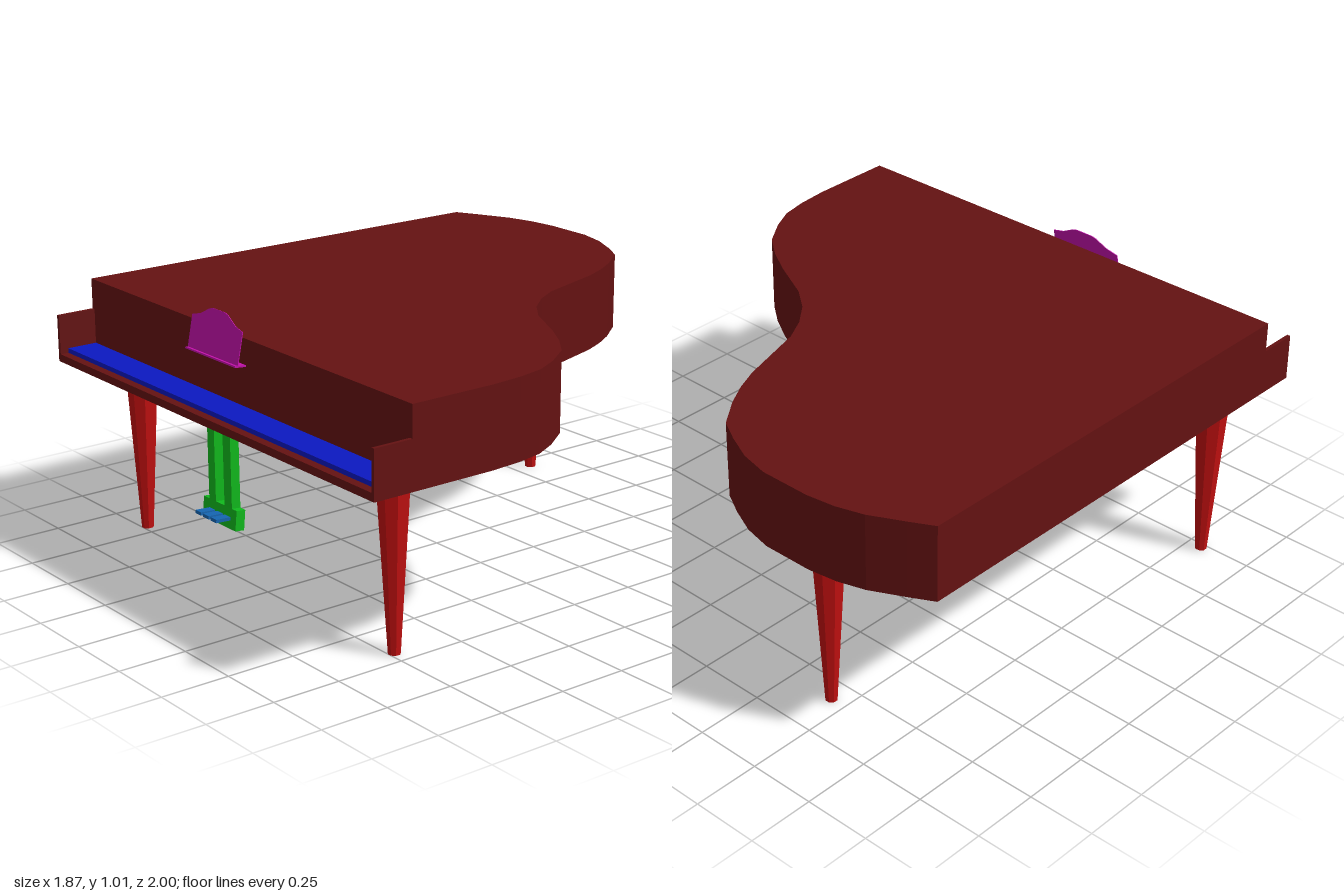
import * as THREE from 'three';

const material = (color, extra = {}) => new THREE.MeshStandardMaterial({ color, ...extra });
const wood = material(0x641212);
const legRed = material(0xc01010, { flatShading: true });
const green = material(0x10b81c);
const keyBlue = material(0x0c18c0);
const pedalBlue = material(0x1565b0);
const magenta = material(0xc010a8, { side: THREE.DoubleSide });

function add(parent, name, geometry, mat) {
  const mesh = new THREE.Mesh(geometry, mat);
  mesh.name = name;
  parent.add(mesh);
  return mesh;
}

// Box given by its extents on each axis
function box(parent, name, mat, [x0, x1], [y0, y1], [z0, z1]) {
  const mesh = add(parent, name, new THREE.BoxGeometry(x1 - x0, y1 - y0, z1 - z0), mat);
  mesh.position.set((x0 + x1) / 2, (y0 + y1) / 2, (z0 + z1) / 2);
  return mesh;
}

// Case outline seen from above, as x, z
const OUTLINE = [
  [-0.935, 0.85], [-0.935, -0.85], [-0.85, -0.895], [-0.73, -0.955], [-0.63, -0.985],
  [-0.52, -1], [-0.33, -1], [-0.22, -0.975], [-0.12, -0.93], [-0.03, -0.88],
  [0.05, -0.775], [0.1, -0.69], [0.14, -0.6], [0.18, -0.47], [0.22, -0.34],
  [0.27, -0.25], [0.34, -0.165], [0.43, -0.095], [0.52, -0.05], [0.6, -0.01],
  [0.7, 0.05], [0.79, 0.12], [0.86, 0.22], [0.905, 0.31], [0.925, 0.41],
  [0.935, 0.53], [0.935, 0.85],
];

function buildCase() {
  const group = new THREE.Group();
  group.name = 'case';
  const shape = new THREE.Shape(OUTLINE.map(([x, z]) => new THREE.Vector2(x, -z)));
  const geometry = new THREE.ExtrudeGeometry(shape, { depth: 0.283, bevelEnabled: false });
  geometry.rotateX(-Math.PI / 2).translate(0, 0.658, 0);
  add(group, 'soundCase', geometry, wood);

  // Keybed, cheeks and keys
  box(group, 'keybed', wood, [-0.935, 0.935], [0.658, 0.686], [0.85, 0.997]);
  for (const [name, a, b] of [['rightCheek', -0.935, -0.922], ['leftCheek', 0.922, 0.935]]) {
    box(group, name, wood, [a, b], [0.686, 0.83], [0.85, 0.997]);
  }
  box(group, 'keys', keyBlue, [-0.922, 0.922], [0.684, 0.703], [0.848, 0.965]);
  group.rotation.z = -0.006; // the case leans slightly to one side
  return group;
}

function buildMusicStand() {
  const group = new THREE.Group();
  group.name = 'musicStand';
  const half = [[0.15, 0], [0.15, 0.115], [0.105, 0.126], [0.075, 0.142], [0.055, 0.153], [0.035, 0.158]];
  const mirrored = half.map(([x, y]) => [-x, y]).reverse();
  const shape = new THREE.Shape([...half, ...mirrored].map(([x, y]) => new THREE.Vector2(x, y)));
  const plate = add(group, 'standPlate',
    new THREE.ExtrudeGeometry(shape, { depth: 0.003, bevelEnabled: false }), magenta);
  plate.position.set(-0.1, 0.85, 0.88);
  plate.rotation.x = -0.2;
  const ledge = box(group, 'standLedge', magenta, [-0.25, 0.05], [0.845, 0.851], [0.848, 0.893]);
  ledge.rotation.x = -0.1;
  return group;
}

function buildPedalLyre() {
  const group = new THREE.Group();
  group.name = 'pedalLyre';
  box(group, 'post', green, [-0.215, -0.174], [0.28, 0.665], [0.803, 0.838]);
  box(group, 'post', green, [-0.121, -0.076], [0.28, 0.665], [0.803, 0.838]);
  const pedalBox = box(group, 'pedalBox', green, [-0.248, -0.047], [0.23, 0.303], [0.806, 0.842]);
  pedalBox.rotation.x = -0.1;
  for (const x of [-0.192, -0.145, -0.098]) {
    const pedal = box(group, 'pedal', pedalBlue, [x - 0.017, x + 0.017], [0.263, 0.275], [0.83, 0.9]);
    pedal.rotation.x = -0.06;
  }
  return group;
}

export function createModel() {
  const model = new THREE.Group();
  model.name = 'grandPiano';
  model.add(buildCase(), buildMusicStand(), buildPedalLyre());

  // Tapered eight-sided legs
  const legGeometry = new THREE.CylinderGeometry(0.062, 0.022, 0.662, 8);
  legGeometry.rotateY(Math.PI / 8).translate(0, 0.331, 0);
  const legs = [['frontRightLeg', -0.807, 0.73], ['frontLeftLeg', 0.688, 0.73], ['backLeg', -0.437, -0.832]];
  for (const [name, x, z] of legs) {
    add(model, name, legGeometry, legRed).position.set(x, 0, z);
  }
  return model;
}
